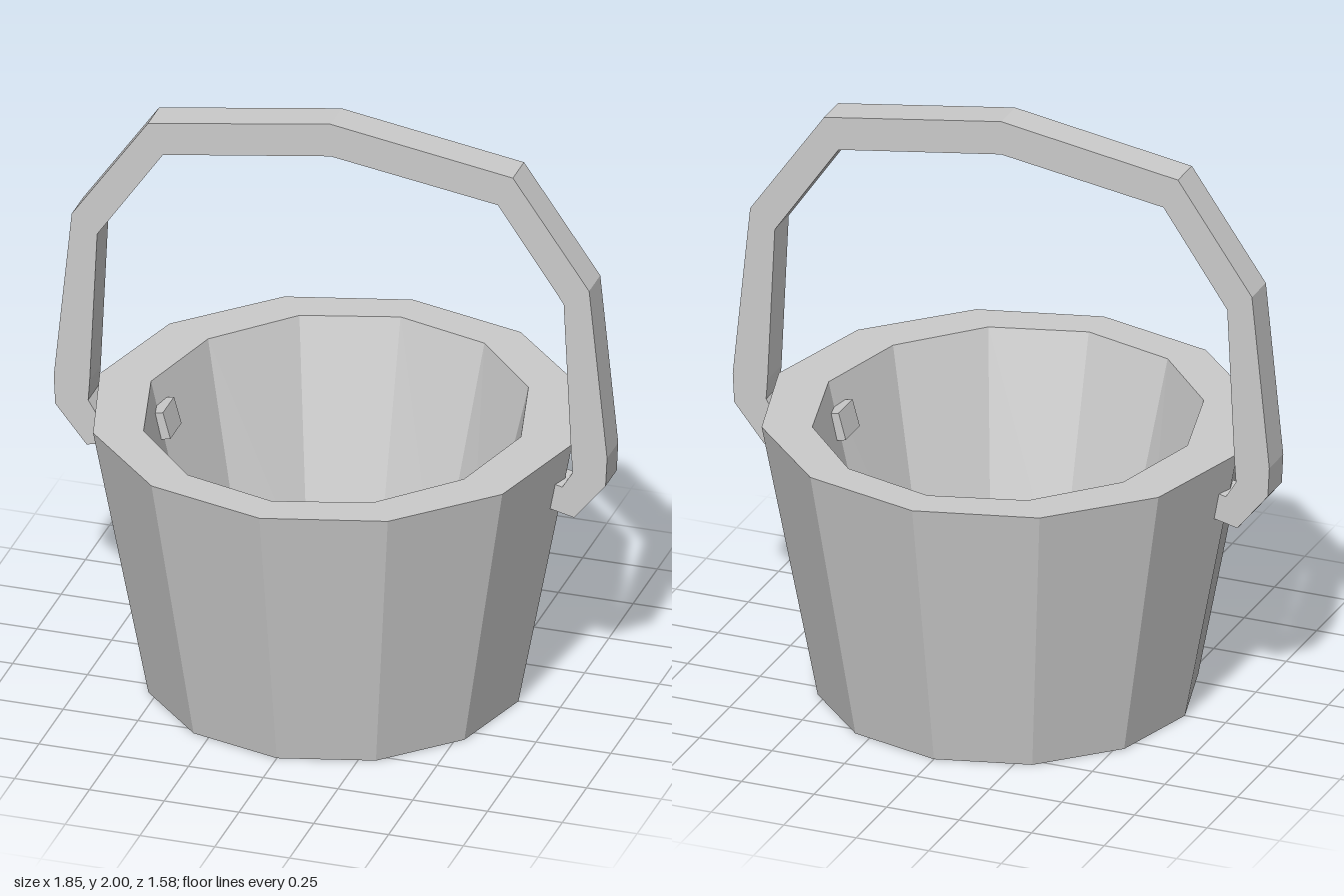
import * as THREE from 'three';

const material = new THREE.MeshStandardMaterial({ color: 0xcccccc, flatShading: true });

// Twelve-sided tapered pail: outer wall, thick rim, inner wall and floor
function makePail() {
  const profile = [[0, 0], [0.61, 0], [0.79, 0.95], [0.665, 0.95], [0.43, 0.12], [0, 0.12]]
    .map(([r, y]) => new THREE.Vector2(r, y));
  const geometry = new THREE.LatheGeometry(profile, 12).toNonIndexed();
  // The opening is slightly narrower across x, leaving more wood by the handle
  const p = geometry.attributes.position;
  for (let i = 0; i < p.count; i++) {
    const r = Math.hypot(p.getX(i), p.getZ(i));
    if (p.getY(i) > 0.9 && r < 0.7) p.setX(i, p.getX(i) * 0.93);
  }
  geometry.computeVertexNormals();
  const mesh = new THREE.Mesh(geometry, material);
  mesh.name = 'pail';
  return mesh;
}

// Flat-sided arched handle with hooked ends passing through the wall
function makeHandle() {
  const depth = 0.115;
  const half = [
    [0.61, 1.905], [0.865, 1.54], [0.925, 0.95], [0.92, 0.85], [0.815, 0.72],
    [0.535, 0.785], [0.56, 0.875], [0.775, 0.823], [0.81, 0.88],
    [0.805, 0.95], [0.78, 1.48], [0.56, 1.8],
  ];
  const mirrored = half.map(([x, y]) => [-x, y]).reverse();
  const outline = [[0, 2], ...half, [0, 1.885], ...mirrored].map(([x, y]) => new THREE.Vector2(x, y));
  const geometry = new THREE.ExtrudeGeometry(new THREE.Shape(outline), { depth, bevelEnabled: false });
  geometry.translate(0, 0, -depth / 2);
  const mesh = new THREE.Mesh(geometry, material);
  mesh.name = 'handle';
  return mesh;
}

export function createModel() {
  const group = new THREE.Group();
  group.name = 'bucket';
  group.add(makePail(), makeHandle());
  return group;
}
